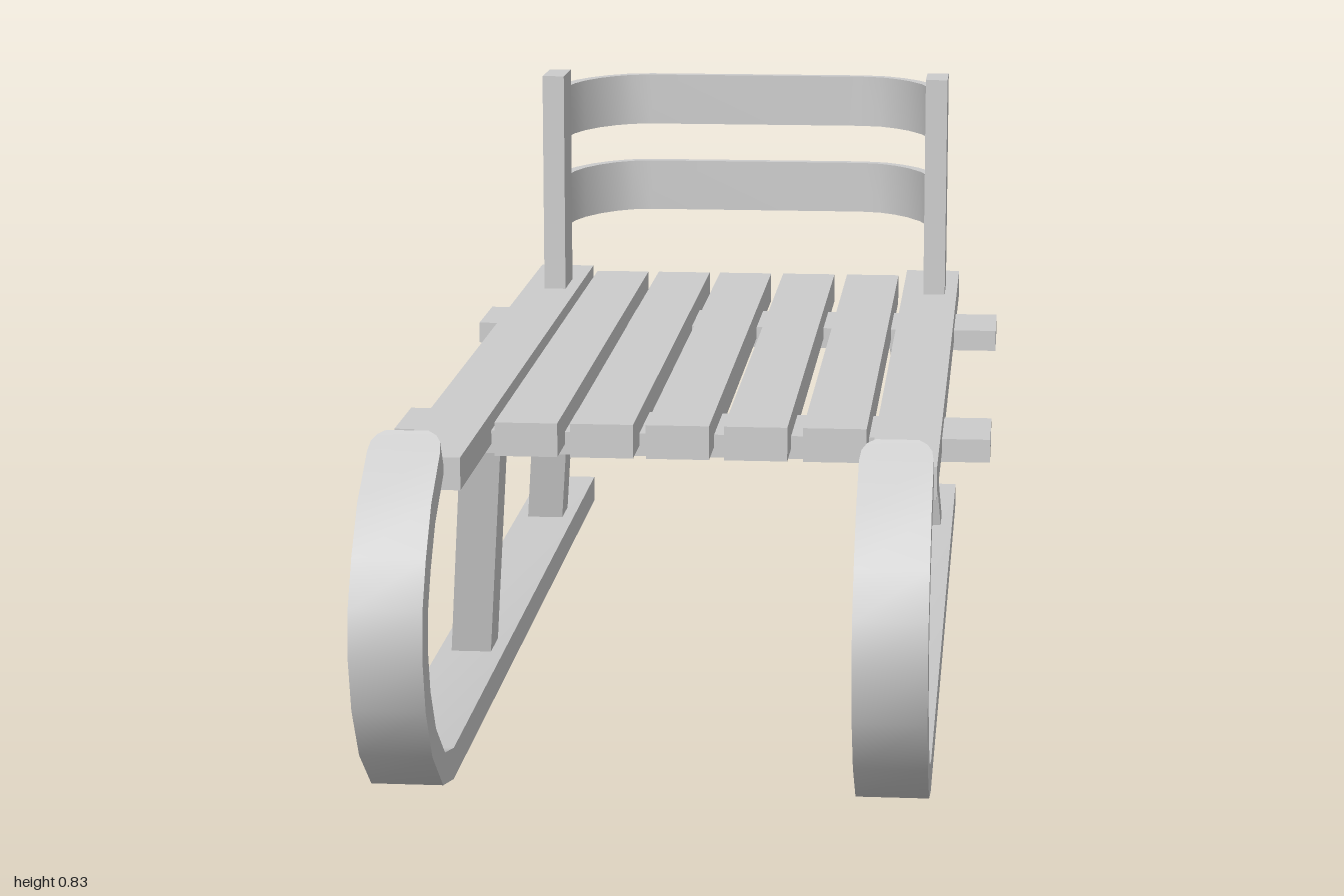
import * as THREE from 'three';
import { toCreasedNormals } from 'three/addons/utils/BufferGeometryUtils.js';

const material = new THREE.MeshStandardMaterial({ color: 0xcccccc });

// Bent strip: follows a 2D path in x/y, with its width along z.
function ribbon(path, thickness, widths) {
  const pts = path.map(([x, y]) => new THREE.Vector2(x, y));
  const n = pts.length;
  const positions = [], index = [];
  pts.forEach((p, i) => {
    const before = pts[Math.max(i - 1, 0)], after = pts[Math.min(i + 1, n - 1)];
    const d0 = p.clone().sub(before).normalize(), d1 = after.clone().sub(p).normalize();
    const d = d0.clone().add(d1).normalize();
    // Mitre keeps the thickness constant through bends
    const mitre = i === 0 || i === n - 1 ? 1 : d.dot(d1);
    const off = new THREE.Vector2(-d.y, d.x).multiplyScalar(thickness / 2 / mitre);
    const w = (widths[i] ?? widths[0]) / 2;
    for (const [s, z] of [[1, w], [-1, w], [-1, -w], [1, -w]]) {
      positions.push(p.x + off.x * s, p.y + off.y * s, z);
    }
  });
  for (let i = 0; i < n - 1; i++) {
    for (let k = 0; k < 4; k++) {
      const a = i * 4 + k, b = i * 4 + (k + 1) % 4;
      index.push(a, b, b + 4, a, b + 4, a + 4);
    }
  }
  const e = (n - 1) * 4;
  index.push(0, 2, 1, 0, 3, 2, e, e + 1, e + 2, e, e + 2, e + 3);
  const g = new THREE.BufferGeometry();
  g.setAttribute('position', new THREE.Float32BufferAttribute(positions, 3));
  g.setIndex(index);
  return toCreasedNormals(g, 0.7);
}

export function createModel() {
  const sled = new THREE.Group();
  sled.name = 'sled';

  function add(name, geometry, x = 0, y = 0, z = 0) {
    const mesh = new THREE.Mesh(geometry, material);
    mesh.name = name;
    mesh.position.set(x, y, z);
    sled.add(mesh);
    return mesh;
  }
  // Box given by its limits on each axis
  function board(name, x0, x1, y0, y1, z0, z1) {
    return add(name, new THREE.BoxGeometry(x1 - x0, y1 - y0, z1 - z0),
      (x0 + x1) / 2, (y0 + y1) / 2, (z0 + z1) / 2);
  }

  // Runners: flat at the back, curled up at the front with a rounded tip
  const runnerPath = [
    [-0.95, 0.023], [0.75, 0.023], [0.835, 0.042], [0.915, 0.105], [0.96, 0.177],
    [0.978, 0.25], [0.972, 0.305], [0.94, 0.365], [0.892, 0.425],
    [0.814, 0.477], [0.798, 0.488], [0.787, 0.495], [0.78, 0.5],
  ];
  const runnerWidths = runnerPath.map(() => 0.102);
  runnerWidths.splice(-3, 3, 0.097, 0.083, 0.06);
  const runner = ribbon(runnerPath, 0.045, runnerWidths).rotateY(-Math.PI / 2);

  // Legs: lean forward and inward towards the seat
  function leg(name, side, center, zBottom) {
    const g = new THREE.BoxGeometry(0.062, 0.345, 0.076);
    const p = g.attributes.position;
    for (let i = 0; i < p.count; i++) {
      const t = p.getY(i) > 0 ? 1 : 0;
      p.setX(i, p.getX(i) - side * 0.03 * t);
      p.setZ(i, p.getZ(i) + 0.075 * t);
    }
    g.computeVertexNormals();
    add(name, g, center, 0.2175, zBottom);
  }

  for (const [label, side, center, rail, post] of [
    ['left', 1, 0.326, 0.33, 0.338],
    ['right', -1, -0.354, -0.35, -0.342],
  ]) {
    add(label + 'Runner', runner, center);
    board(label + 'SideRail', rail - 0.048, rail + 0.048, 0.402, 0.45, -0.95, 0.66);
    board(label + 'BackrestPost', post - 0.019, post + 0.019, 0.45, 0.833, -0.803, -0.702);
    leg(label + 'FrontLeg', side, center, 0.212);
    leg(label + 'RearLeg', side, center, -0.667);
  }

  // Crossbars under the seat
  board('frontCrossbar', -0.45, 0.45, 0.388, 0.423, 0.205, 0.357);
  board('rearCrossbar', -0.45, 0.45, 0.388, 0.423, -0.66, -0.507);

  // Seat slats
  for (const x of [-0.237, -0.124, -0.011, 0.105, 0.222]) {
    board('seatSlat', x - 0.047, x + 0.047, 0.404, 0.455, -0.865, 0.445);
  }

  // Bowed backrest bands between the posts
  const half = [[0.336, -0.79], [0.33, -0.835], [0.316, -0.88], [0.292, -0.925],
    [0.265, -0.957], [0.235, -0.98], [0.195, -0.99]];
  const bandPath = [...half.map(([x, z]) => [-x, z]), ...half.slice().reverse()];
  const band = ribbon(bandPath, 0.02, [0.091]).rotateX(Math.PI / 2);
  add('lowerBackrestBand', band, 0, 0.599, 0);
  add('upperBackrestBand', band, 0, 0.759, 0);

  return sled;
}
